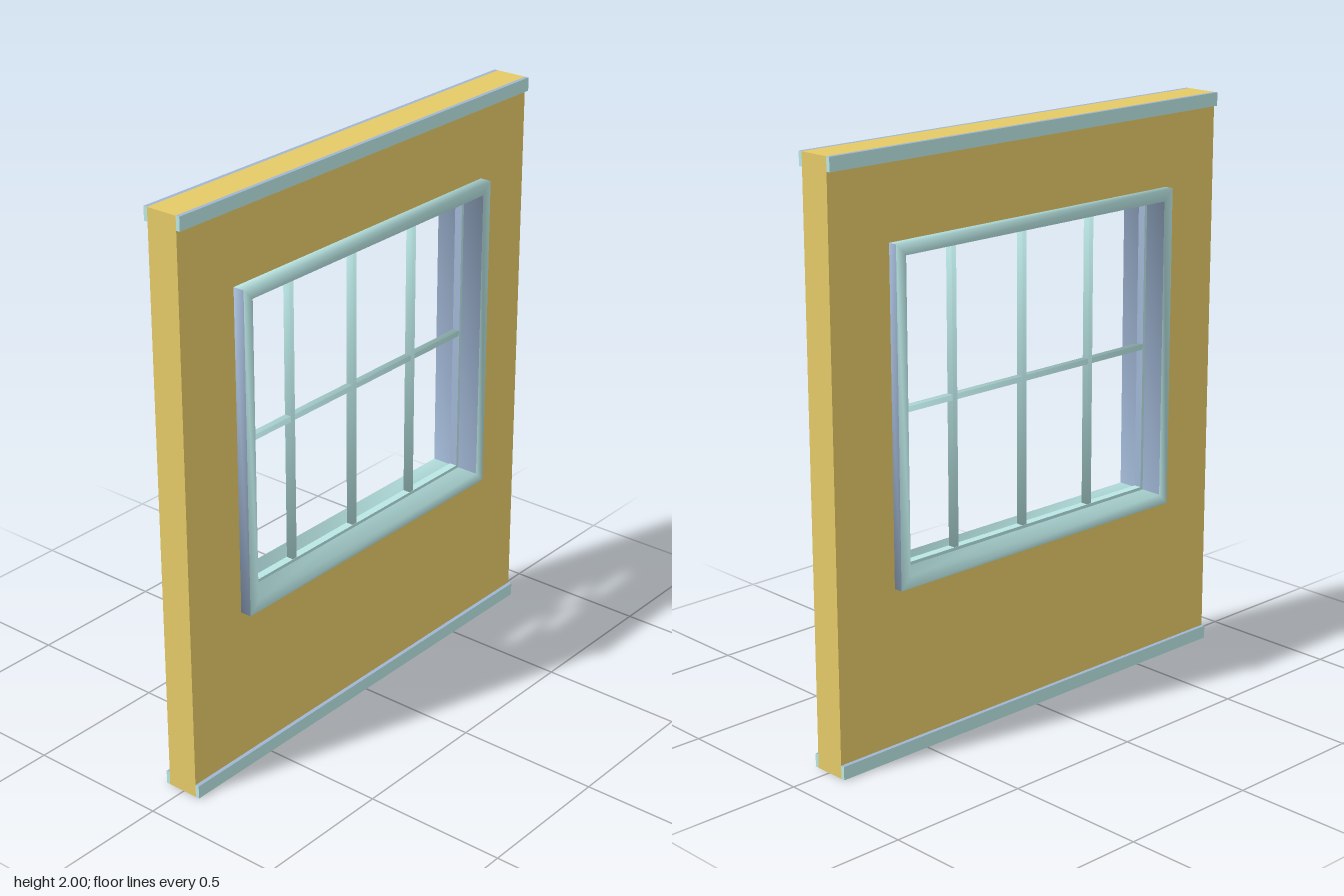
import * as THREE from 'three';
import { toCreasedNormals } from 'three/addons/utils/BufferGeometryUtils.js';

const WIDTH = 1.71, HEIGHT = 2, BACK = -0.061, FRONT = 0.053;
const CX = 0.618, CY = 0.561, MID = 1.143; // window half width, half height, centre height
const SOFT = 1.7; // crease angle that also smooths square corners

// Sweeps a profile of [inset, z] points round the window with mitred corners;
// faces looking left or right go in material group 1, all others in group 0
function windowRing(profile, crease) {
  const corners = [[-1, -1], [1, -1], [1, 1], [-1, 1]];
  const pos = [];
  const g = new THREE.BufferGeometry();
  const at = ([sx, sy], [o, z]) => [sx * (CX - o), MID + sy * (CY - o), z];
  for (let i = 0; i < 4; i++) {
    const c0 = corners[i], c1 = corners[(i + 1) % 4];
    for (let j = 0; j < profile.length - 1; j++) {
      const a = at(c0, profile[j]), b = at(c1, profile[j]);
      const c = at(c1, profile[j + 1]), d = at(c0, profile[j + 1]);
      const sideways = i % 2 === 1 && profile[j][0] === profile[j + 1][0];
      g.addGroup(pos.length / 3, 6, sideways ? 1 : 0);
      pos.push(...a, ...b, ...c, ...a, ...c, ...d);
    }
  }
  g.setAttribute('position', new THREE.Float32BufferAttribute(pos, 3));
  g.computeVertexNormals();
  return toCreasedNormals(g, crease);
}

export function createModel() {
  const model = new THREE.Group();
  model.name = 'wallWithWindow';
  const paint = (name, color) => {
    const material = new THREE.MeshStandardMaterial({ color });
    material.name = name;
    return material;
  };
  const wallPaint = paint('ochre wall', 0xe4c967);
  const trimPaint = paint('pale aqua trim', 0xb9e6e4);
  const edgePaint = paint('blue grey edges', 0x9fb5d3);

  const add = (name, geometry, material, x = 0, y = 0, z = 0) => {
    const mesh = new THREE.Mesh(geometry, material);
    mesh.name = name;
    mesh.position.set(x, y, z);
    model.add(mesh);
  };
  const rect = (path, x, y0, y1) =>
    path.moveTo(-x, y0).lineTo(x, y0).lineTo(x, y1).lineTo(-x, y1).closePath();

  // Wall panel; the opening's edge hides inside the frame
  const outline = rect(new THREE.Shape(), WIDTH / 2, 0, HEIGHT);
  outline.holes.push(rect(new THREE.Path(), CX - 0.02, MID - CY + 0.02, MID + CY - 0.02));
  add('wall', new THREE.ExtrudeGeometry(outline, { depth: FRONT - BACK, bevelEnabled: false }),
    wallPaint, 0, 0, BACK);

  // Skirting and top rail on both faces, with blue grey upper edges
  const strip = 0.014, stripHeight = 0.046;
  const stripPaints = [trimPaint, trimPaint, edgePaint, trimPaint, trimPaint, trimPaint];
  for (const [side, z] of [['front', FRONT + strip / 2], ['back', BACK - strip / 2]]) {
    for (const [part, y] of [['Skirting', stripHeight / 2], ['TopRail', HEIGHT - stripHeight / 2]]) {
      add(side + part, new THREE.BoxGeometry(WIDTH, stripHeight, strip), stripPaints, 0, y, z);
    }
  }

  // Square-edged, softly shaded casing on both faces, joined by the lining of the opening
  const casing = [[0, 0.05], [0, 0.093], [0.04, 0.093], [0.04, -0.093], [0, -0.093], [0, -0.05]];
  add('windowCasing', windowRing(casing, SOFT), [trimPaint, edgePaint]);

  // Slim sash in the middle of the opening
  const sash = [[0.039, 0.014], [0.051, 0.014], [0.051, -0.014], [0.039, -0.014]];
  add('sash', windowRing(sash, 0.5), [trimPaint, edgePaint]);

  // Softly shaded glazing bars
  const bar = (w, h, d) => toCreasedNormals(new THREE.BoxGeometry(w, h, d), SOFT);
  for (const x of [-0.309, 0, 0.309]) {
    add('verticalBar', bar(0.019, 2 * (CY - 0.045), 0.026), trimPaint, x, MID, 0);
  }
  add('horizontalBar', bar(2 * (CX - 0.045), 0.019, 0.024), trimPaint, 0, MID, 0);

  return model;
}
